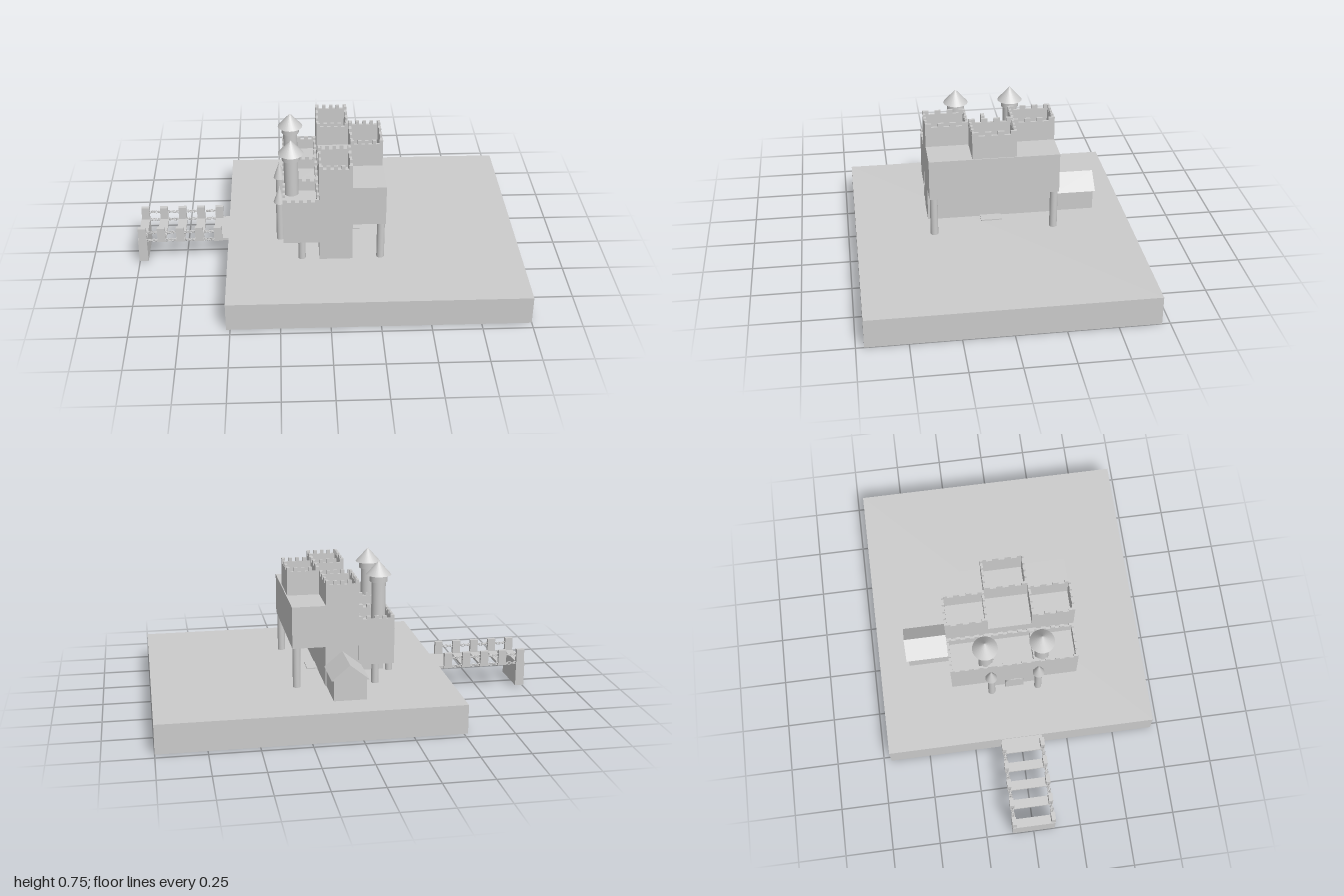
import * as THREE from 'three';

const mat = new THREE.MeshStandardMaterial({ color: 0xcccccc, flatShading: true, side: THREE.DoubleSide });
const smooth = new THREE.MeshStandardMaterial({ color: 0xcccccc });

export function createModel() {
  const root = new THREE.Group();

  const add = (name, geo, x, y, z, parent = root, material = mat) => {
    const m = new THREE.Mesh(geo, material);
    m.name = name;
    m.position.set(x, y, z);
    parent.add(m);
    return m;
  };
  // Box given by its limits on each axis
  const box = (name, x0, x1, y0, y1, z0, z1, parent = root) =>
    add(name, new THREE.BoxGeometry(x1 - x0, y1 - y0, z1 - z0),
      (x0 + x1) / 2, (y0 + y1) / 2, (z0 + z1) / 2, parent);
  const cylinder = (name, r, y0, y1, x, z, parent = root) =>
    add(name, new THREE.CylinderGeometry(r, r, y1 - y0, 24), x, (y0 + y1) / 2, z, parent, smooth);
  const cone = (name, r, y0, y1, x, z, parent = root) =>
    add(name, new THREE.ConeGeometry(r, y1 - y0, 24), x, (y0 + y1) / 2, z, parent, smooth);

  // Four parapet walls around an open roof, with teeth along the top
  function parapet(name, x0, x1, y0, y1, z0, z1, tooth, nx, nz) {
    const g = new THREE.Group();
    g.name = name;
    root.add(g);
    const t = 0.012;
    for (const [a, b] of [[z0, z0 + t], [z1 - t, z1]]) {
      box('parapetWall', x0, x1, y0, y1, a, b, g);
      const w = (x1 - x0) / (2 * nx - 1);
      for (let i = 0; i < nx; i++)
        box('merlon', x0 + 2 * i * w, x0 + (2 * i + 1) * w, y1, y1 + tooth, a, b, g);
    }
    for (const [a, b] of [[x0, x0 + t], [x1 - t, x1]]) {
      box('parapetWall', a, b, y0, y1, z0 + t, z1 - t, g);
      const w = (z1 - z0) / (2 * nz - 1);
      for (let i = 0; i < nz; i++)
        box('merlon', a, b, y1, y1 + tooth, z0 + 2 * i * w, z0 + (2 * i + 1) * w, g);
    }
  }

  // Ground slab
  box('ground', -0.52, 1, 0, 0.15, -0.71, 0.71);

  // Keep: narrow lower storey with a wider storey on top
  box('keepLower', -0.045, 0.125, 0.15, 0.36, -0.33, 0.33);
  box('keepUpper', -0.045, 0.293, 0.36, 0.575, -0.333, 0.333);

  // Three crenellated towers on the keep
  parapet('backTower', 0.122, 0.288, 0.575, 0.7, -0.113, 0.113, 0.02, 5, 4);
  for (const s of [-1, 1]) {
    const [z0, z1] = s > 0 ? [0.113, 0.333] : [-0.333, -0.113];
    parapet('sideTower', -0.045, 0.122, 0.575, 0.682, z0, z1, 0.02, 5, 4);

    // Overhanging wing on a column
    box('wing', -0.228, -0.045, 0.255, 0.44, z0, z1);
    parapet('wingParapet', -0.228, -0.045, 0.44, 0.495, z0, z1, 0.015, 5, 5);
    cylinder('wingColumn', 0.019, 0.15, 0.255, -0.134, s * 0.31);
    cylinder('rearColumn', 0.02, 0.15, 0.36, 0.27, s * 0.31);

    // Tall turret on the roof
    const turret = new THREE.Group();
    turret.name = 'turret';
    root.add(turret);
    cylinder('turretShaft', 0.037, 0.44, 0.645, -0.183, s * 0.145, turret);
    cylinder('turretCollar', 0.046, 0.64, 0.676, -0.183, s * 0.145, turret);
    cone('turretRoof', 0.065, 0.676, 0.75, -0.183, s * 0.145, turret);

    // Slim turret beside the gate
    cylinder('gateTurretShaft', 0.019, 0.15, 0.375, -0.245, s * 0.125);
    cone('gateTurretRoof', 0.031, 0.375, 0.47, -0.245, s * 0.125);
  }

  // Gatehouse with an arched gate facing the bridge
  box('gatehouseLower', -0.217, -0.045, 0.15, 0.255, -0.113, 0.113);
  box('gatehouseUpper', -0.228, -0.045, 0.255, 0.44, -0.113, 0.113);
  parapet('gatehouseParapet', -0.228, -0.045, 0.44, 0.495, -0.113, 0.113, 0.015, 5, 5);
  const arch = new THREE.Shape();
  arch.moveTo(-0.05, 0);
  arch.lineTo(0.05, 0);
  arch.lineTo(0.05, 0.06);
  arch.absarc(0, 0.06, 0.05, 0, Math.PI, false);
  arch.closePath();
  const gate = add('gate', new THREE.ExtrudeGeometry(arch, { depth: 0.015, bevelEnabled: false }), -0.217, 0.15, 0);
  gate.rotation.y = -Math.PI / 2;

  // Doorstep behind the keep and the slatted hatch on the rear tower
  box('doorstep', 0.125, 0.18, 0.15, 0.156, -0.055, 0.055);
  for (let i = 0; i < 4; i++)
    box('hatchSlat', 0.125 + i * 0.015, 0.135 + i * 0.015, 0.575, 0.58, -0.05, 0.05);

  // Gabled hut against the far side wall
  box('hutWalls', -0.045, 0.12, 0.15, 0.26, -0.55, -0.33);
  const gable = new THREE.Shape([[-0.057, 0.258], [0.132, 0.258], [0.04, 0.335]].map(p => new THREE.Vector2(...p)));
  add('hutRoof', new THREE.ExtrudeGeometry(gable, { depth: 0.225, bevelEnabled: false }), 0, 0, -0.56);

  // Bridge: planks with railing posts, tied by chains
  const bridge = new THREE.Group();
  bridge.name = 'bridge';
  root.add(bridge);
  box('bridgeEndWall', -1, -0.953, 0.01, 0.143, -0.112, 0.112, bridge);
  box('bridgeRamp', -0.598, -0.515, 0.13, 0.143, -0.108, 0.108, bridge);
  const link = new THREE.TorusGeometry(0.009, 0.0028, 6, 12);
  link.scale(1.35, 0.8, 1);
  for (let i = 0; i < 5; i++) {
    const x = -0.975 + i * 0.1;
    if (i > 0) box('plank', x - 0.024, x + 0.024, 0.13, 0.143, -0.112, 0.112, bridge);
    for (const s of [-1, 1]) {
      box('railPost', x - 0.021, x + 0.021, 0.143, 0.213, s * 0.102 - 0.011, s * 0.102 + 0.011, bridge);
      if (i === 4) continue;
      for (const y of [0.136, 0.185])
        for (let k = 0; k < 4; k++) {
          const m = add('chainLink', link, x + 0.024 + k * 0.0175, y, s * 0.102, bridge, smooth);
          m.rotation.x = k % 2 ? Math.PI / 2 : 0;
        }
    }
  }
  return root;
}
